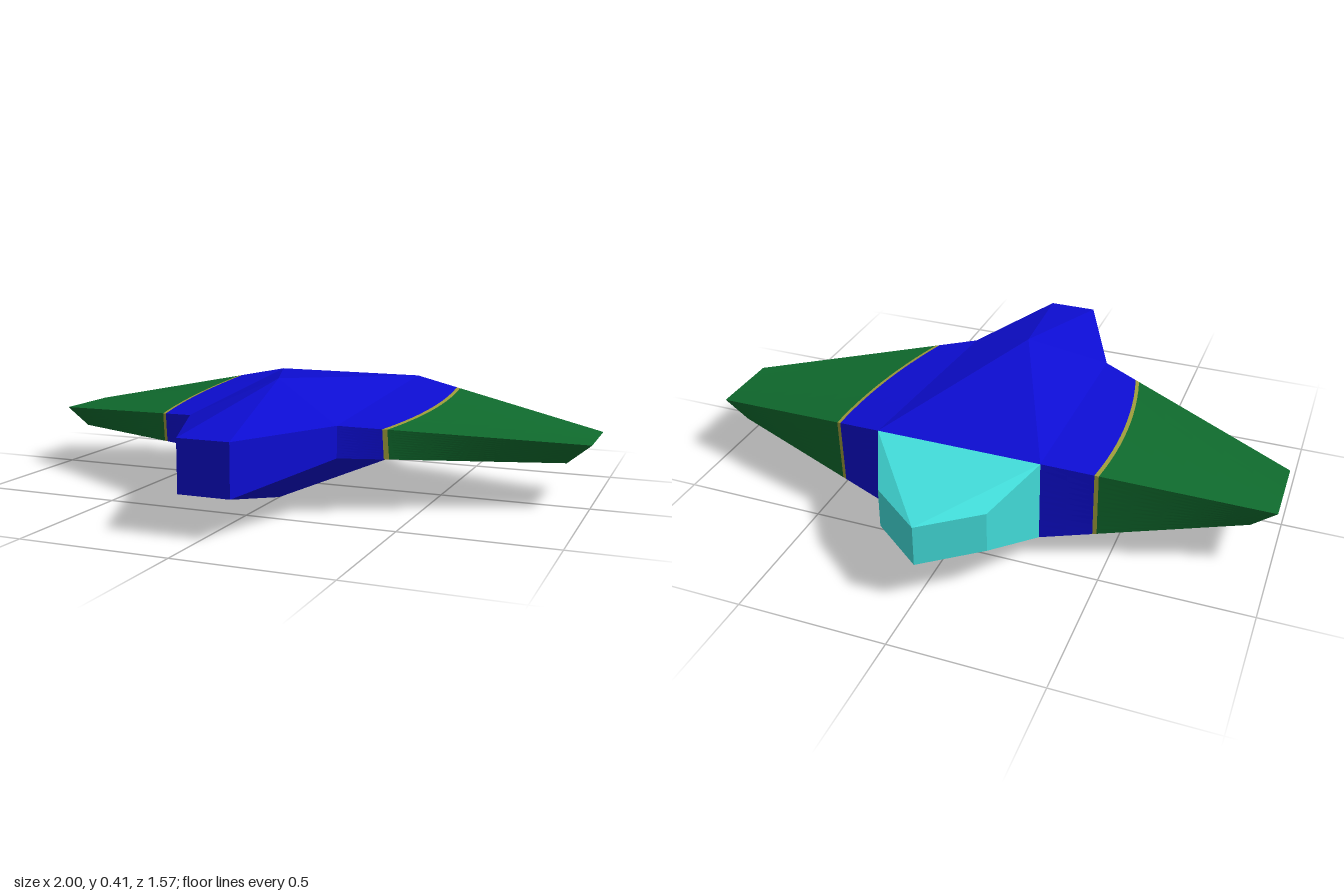
import * as THREE from 'three';

const V = (x, y, z) => new THREE.Vector3(x, y, z);
const CENTER = V(0, 0.21, -0.1);

const mat = (name, color) => {
  const m = new THREE.MeshStandardMaterial({ color, flatShading: true });
  m.name = name;
  return m;
};

// Flat-faced mesh from convex polygons, each turned to face away from the centre
function facetMesh(name, polygons, material) {
  const out = [];
  for (const p of polygons) {
    for (let i = 1; i < p.length - 1; i++) {
      const [a, b, c] = [p[0], p[i], p[i + 1]];
      const n = b.clone().sub(a).cross(c.clone().sub(a));
      const tri = n.dot(a.clone().sub(CENTER)) >= 0 ? [a, b, c] : [a, c, b];
      tri.forEach((v) => out.push(v.x, v.y, v.z));
    }
  }
  const g = new THREE.BufferGeometry();
  g.setAttribute('position', new THREE.Float32BufferAttribute(out, 3));
  g.computeVertexNormals();
  const mesh = new THREE.Mesh(g, material);
  mesh.name = name;
  return mesh;
}

const mirror = (polys) => polys.map((p) => p.map((v) => V(-v.x, v.y, v.z)));
const both = (polys) => [...polys, ...mirror(polys)];

// Key corners on the +x side: top and bottom of each station
const ridge = V(0, 0.412, 0.24), keel = V(0, 0.004, 0.24);
const noseT = V(0.087, 0.3, 0.787), noseB = V(0.087, 0.13, 0.787);
const shoulderT = V(0.262, 0.292, 0.38), shoulderB = V(0.262, 0.187, 0.38);
const rearT = V(0.28, 0.352, -0.435), rearB = V(0.28, 0.068, -0.435);
const tipFrontT = V(1, 0.217, 0.012), tipFrontB = V(0.92, 0.15, 0.0);
const tipRearT = V(1, 0.217, -0.247), tipRearB = V(0.92, 0.15, -0.24);
const tailT = V(0.182, 0.28, -0.645), tailB = V(0.182, 0.14, -0.645);
const tailEndT = V(0, 0.28, -0.787), tailEndB = V(0, 0.14, -0.787);
const flip = (v) => V(-v.x, v.y, v.z);

// Each wing surface: two root corners, then the matching tip corners
const wingSides = [
  [shoulderT, rearT, tipFrontT, tipRearT],
  [shoulderB, rearB, tipFrontB, tipRearB],
  [shoulderT, shoulderB, tipFrontT, tipFrontB],
  [rearT, rearB, tipRearT, tipRearB],
];
const surfacePoint = ([a, b, c, d], u, t) =>
  a.clone().lerp(b, u).lerp(c.clone().lerp(d, u), t);

// Spanwise position where a surface meets the curved paint line
function paintLine(side, u, offset) {
  let lo = 0, hi = 1;
  for (let i = 0; i < 24; i++) {
    const mid = (lo + hi) / 2, p = surfacePoint(side, u, mid);
    if (p.x < 0.459 - 0.23 * (p.z + 0.2) ** 2 + offset) lo = mid;
    else hi = mid;
  }
  return lo;
}

// Wing skin between two span limits, each a function of (side, u)
function wingBand(from, to, spanSteps) {
  const polys = [], N = 12;
  for (const side of wingSides) {
    const at = (i, j) => {
      const u = i / N, t0 = from(side, u), t1 = to(side, u);
      return surfacePoint(side, u, t0 + (t1 - t0) * (j / spanSteps));
    };
    for (let i = 0; i < N; i++)
      for (let j = 0; j < spanSteps; j++)
        polys.push([at(i, j), at(i + 1, j), at(i + 1, j + 1), at(i, j + 1)]);
  }
  return polys;
}

export function createModel() {
  const blue = mat('hull blue', 0x0d0dd2);
  const green = mat('wing green', 0x0f6a2d);
  const cyan = mat('tail turquoise', 0x43dfdc);
  const olive = mat('trim olive', 0x9c9a3a);
  const model = new THREE.Group();
  model.name = 'spacecraft';

  // Central hull with pointed ridge, keel and blunt nose
  model.add(facetMesh('hull', [
    [ridge, rearT, flip(rearT)],
    [keel, rearB, flip(rearB)],
    [ridge, noseT, flip(noseT)],
    [keel, noseB, flip(noseB)],
    [noseT, noseB, flip(noseB), flip(noseT)],
    ...both([
      [ridge, shoulderT, rearT],
      [keel, shoulderB, rearB],
      [ridge, noseT, shoulderT],
      [keel, noseB, shoulderB],
      [noseT, noseB, shoulderB, shoulderT],
    ]),
  ], blue));

  // Tapered tail block
  model.add(facetMesh('tail', [
    [rearT, flip(rearT), tailEndT],
    [rearB, flip(rearB), tailEndB],
    ...both([
      [rearT, tailT, tailEndT],
      [rearB, tailB, tailEndB],
      [rearT, rearB, tailB, tailT],
      [tailT, tailB, tailEndB, tailEndT],
    ]),
  ], cyan));

  // Wings: blue root, thin trim line, green outer panel with slanted tip
  const inner = (s, u) => paintLine(s, u, -0.007);
  const outer = (s, u) => paintLine(s, u, 0.006);
  const root = wingBand(() => 0, inner, 2);
  const trim = wingBand(inner, outer, 1);
  const panel = wingBand(outer, () => 1, 5);
  panel.push([tipFrontT, tipRearT, tipRearB, tipFrontB]);

  for (const [name, f] of [['left', (p) => p], ['right', mirror]]) {
    const wing = new THREE.Group();
    wing.name = name + 'Wing';
    wing.add(
      facetMesh(name + 'WingRoot', f(root), blue),
      facetMesh(name + 'WingTrim', f(trim), olive),
      facetMesh(name + 'WingPanel', f(panel), green),
    );
    model.add(wing);
  }
  return model;
}
